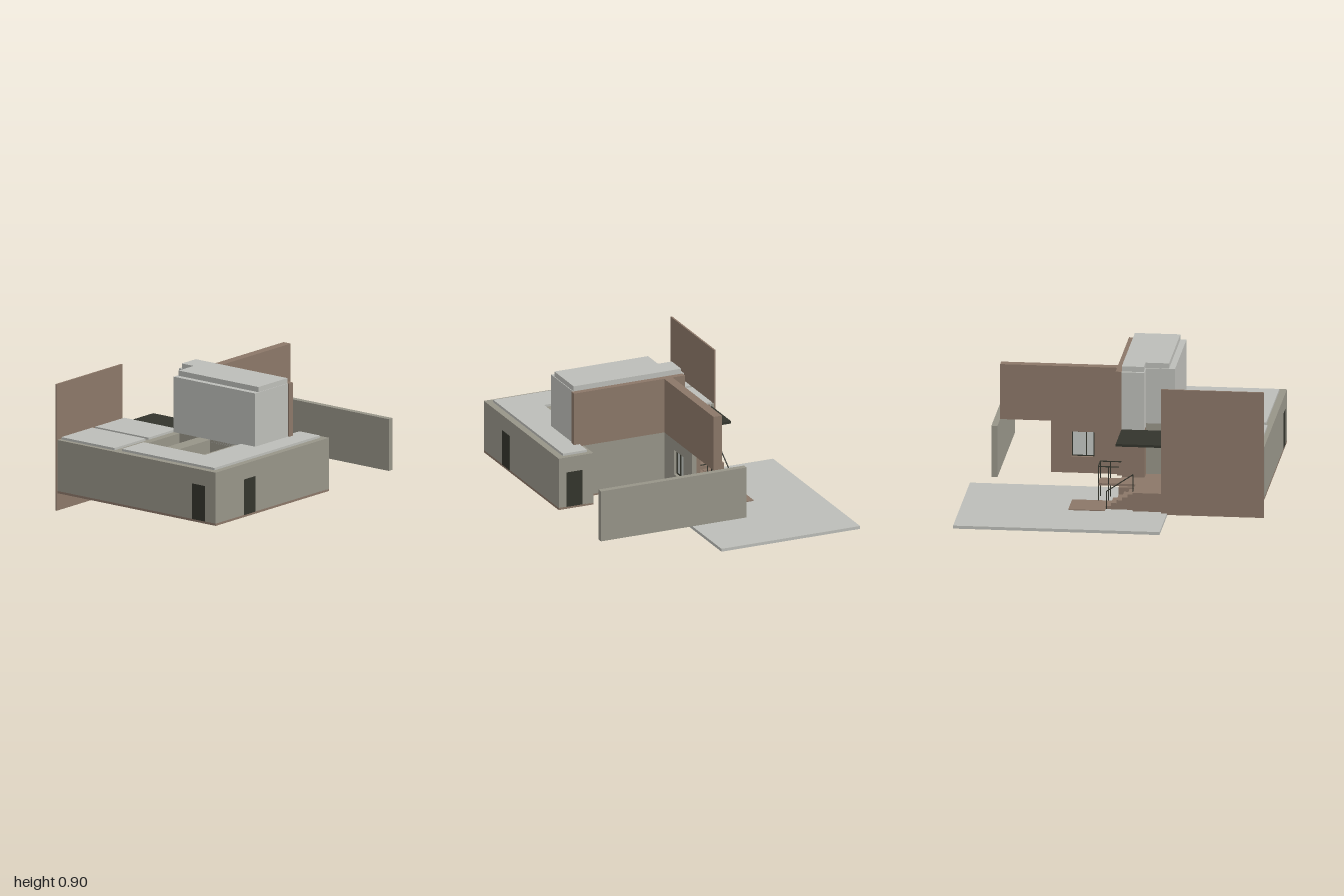
import * as THREE from 'three';

const mat = (name, color) => {
  const m = new THREE.MeshStandardMaterial({ color });
  m.name = name;
  return m;
};

export function createModel() {
  const house = new THREE.Group();
  house.name = 'house';
  const brown = mat('brown cladding', 0x8b7768);
  const olive = mat('olive plaster', 0x979488);
  const pale = mat('pale concrete', 0xbcbdb8);
  const dark = mat('dark metal', 0x33342c);
  const glass = mat('glass', 0xc3c7c3);

  // Box given by its limits on each axis
  const box = (name, m, x0, x1, y0, y1, z0, z1) => {
    const mesh = new THREE.Mesh(new THREE.BoxGeometry(x1 - x0, y1 - y0, z1 - z0), m);
    mesh.position.set((x0 + x1) / 2, (y0 + y1) / 2, (z0 + z1) / 2);
    mesh.name = name;
    house.add(mesh);
  };
  // Flat slab from a plan outline of [x, z] points, with optional holes
  const slab = (name, m, y0, y1, outline, holes = []) => {
    const pts = (list) => list.map(([x, z]) => new THREE.Vector2(x, -z));
    const shape = new THREE.Shape(pts(outline));
    holes.forEach((h) => shape.holes.push(new THREE.Path(pts(h))));
    const geo = new THREE.ExtrudeGeometry(shape, { depth: y1 - y0, bevelEnabled: false });
    geo.rotateX(-Math.PI / 2);
    const mesh = new THREE.Mesh(geo, m);
    mesh.position.y = y0;
    mesh.name = name;
    house.add(mesh);
  };
  const rect = (x0, x1, z0, z1) => [[x0, z0], [x1, z0], [x1, z1], [x0, z1]];

  // Ground terrace
  box('terrace', pale, -0.36, 1, 0, 0.02, -0.9, 0.1);

  // Raised floor with the courtyard opening
  slab('floor', brown, 0.13, 0.145,
    [[-1, -0.45], [-0.32, -0.45], [-0.32, -0.24], [-0.02, -0.24], [-0.02, 0], [0.02, 0],
      [0.02, 0.64], [0.17, 0.64], [0.17, 0.89], [-1, 0.89]],
    [rect(-0.69, -0.36, 0.32, 0.53)]);

  // Outer walls
  const b = 0.14, t = 0.49;
  box('frontWall', olive, -1, 0.17, b, t, 0.845, 0.89);
  box('sideWall', olive, -1, -0.955, b, t, -0.45, 0.845);
  box('endWall', olive, 0.13, 0.17, b, t, 0.64, 0.845);
  box('endReturnWall', olive, 0.02, 0.13, b, t, 0.64, 0.67);
  box('innerSideWall', olive, -0.02, 0.02, b, t, 0.06, 0.67);
  box('middleWall', olive, -0.955, -0.02, b, t, 0.01, 0.06);
  box('roomDivider', olive, -0.65, -0.62, b, t, -0.44, 0.01);
  box('rearWall', olive, -0.955, -0.32, b, t, -0.455, -0.43);
  box('entryWallClad', brown, -0.35, -0.32, b, t, -0.43, -0.31);
  box('entryWall', olive, -0.35, -0.32, b, t, -0.15, 0.01);
  box('entryLintel', olive, -0.35, -0.32, 0.44, t, -0.31, -0.15);

  // Courtyard walls
  box('courtyardSideWall', olive, -0.73, -0.69, b, t, 0.22, 0.58);
  box('courtyardFrontWall', olive, -0.69, -0.36, b, t, 0.53, 0.58);
  box('courtyardRearWall', olive, -0.69, -0.36, b, t, 0.22, 0.32);
  box('courtyardInnerWall', olive, -0.36, -0.32, b, t, 0.06, 0.58);
  box('courtyardEdgeWall', olive, -0.77, -0.73, b, t, 0.06, 0.58);
  box('courtyardDoor', dark, -0.5, -0.39, 0.145, 0.385, 0.126, 0.134);

  // Roof slabs
  slab('mainRoof', pale, 0.47, 0.505,
    [[-0.955, 0.06], [-0.73, 0.06], [-0.73, 0.58], [-0.36, 0.58], [-0.36, 0.06], [-0.02, 0.06],
      [-0.02, 0.67], [0.135, 0.67], [0.135, 0.843], [-0.955, 0.843]]);
  box('rearRoofOuter', pale, -0.97, -0.65, 0.47, 0.505, -0.44, 0.01);
  box('rearRoofInner', pale, -0.62, -0.32, 0.47, 0.505, -0.44, 0.01);

  // Roof tower with its narrow rear arm and raised cap
  slab('tower', pale, 0.47, 0.865,
    [[-0.36, 0.01], [-0.17, 0.01], [-0.17, -0.1], [-0.02, -0.1], [-0.02, 0.7], [-0.36, 0.7]]);
  slab('towerCap', pale, 0.865, 0.9,
    [[-0.32, 0.02], [-0.165, 0.02], [-0.165, -0.08], [-0.02, -0.08], [-0.02, 0.695], [-0.32, 0.695]]);
  box('towerStem', brown, -0.17, -0.02, 0.145, 0.47, -0.08, 0.01);

  // Tall cladding screens
  box('towerScreen', brown, -0.02, 0.02, t, 0.865, -0.09, 0.71);
  box('crossScreen', brown, 0.02, 0.79, t, 0.865, 0, 0.06);
  box('rearScreen', brown, -1, -0.32, 0.01, 0.865, -0.467, -0.455);

  // Freestanding garden wall
  box('gardenWall', olive, 0.79, 0.83, b, t, -0.16, 0.89);

  // Window wall, plaster outside and cladding behind, with a real opening
  const layers = [['windowWall', olive, 0.03, 0.06], ['windowWallBack', brown, 0, 0.03]];
  for (const [name, m, z0, z1] of layers) {
    box(name, m, -0.02, 0.17, b, t, z0, z1);
    box(name, m, 0.32, 0.455, b, t, z0, z1);
    box(name, m, 0.17, 0.32, b, 0.25, z0, z1);
    box(name, m, 0.17, 0.32, 0.42, t, z0, z1);
  }
  box('windowGlass', glass, 0.17, 0.32, 0.25, 0.42, 0.027, 0.033);
  for (const x of [0.17, 0.222, 0.314]) box('windowPost', dark, x, x + 0.006, 0.25, 0.42, 0.02, 0.04);
  for (const y of [0.25, 0.414]) box('windowRail', dark, 0.17, 0.32, y, y + 0.006, 0.02, 0.04);

  // Outside doors
  box('frontDoor', dark, -0.71, -0.595, 0.145, 0.385, 0.887, 0.894);
  box('endDoor', dark, 0.167, 0.174, 0.145, 0.385, 0.72, 0.835);
  box('sideDoor', dark, -1.0, -0.997, 0.145, 0.385, 0.69, 0.8);
  box('sideDoorFace', dark, -1.002, -0.999, 0.145, 0.385, 0.69, 0.8);

  // Glazed entry door
  box('entryGlass', glass, -0.338, -0.332, 0.145, 0.42, -0.29, -0.15);
  box('entryFramePost', dark, -0.35, -0.315, 0.145, 0.44, -0.312, -0.288);
  box('entryFrameHead', dark, -0.35, -0.315, 0.42, 0.44, -0.288, -0.15);
  box('entryHandle', dark, -0.332, -0.32, 0.24, 0.28, -0.162, -0.157);

  // Entry canopy
  box('canopy', dark, -0.32, -0.02, 0.458, 0.475, -0.44, -0.1);
  box('canopyBeam', dark, -0.32, -0.03, 0.445, 0.458, -0.28, -0.16);

  // Entry plinth, balcony, stairs and landing pad
  box('plinth', brown, -0.32, -0.02, 0.02, 0.13, -0.27, 0);
  box('upperLanding', brown, -0.32, -0.13, 0.02, 0.145, -0.44, -0.24);
  box('balcony', brown, -0.02, 0.12, 0.13, 0.145, -0.24, -0.11);
  for (let i = 0; i < 5; i++) {
    box('stairStep', brown, -0.13, 0.05 - i * 0.036, 0.02 + i * 0.021, 0.041 + i * 0.021, -0.41, -0.28);
  }
  box('landingPad', brown, 0.05, 0.29, 0.02, 0.026, -0.46, -0.23);

  // Railings and posts
  const w = 0.003;
  const post = (x, z, y0, y1) => box('railingPost', dark, x - w, x + w, y0, y1, z - w, z + w);
  for (const z of [-0.237, -0.113]) {
    post(0.117, z, 0.02, 0.26);
    post(0.05, z, 0.02, 0.26);
    box('balconyRail', dark, -0.02, 0.12, 0.255, 0.261, z - w, z + w);
  }
  box('balconyEndRail', dark, 0.114, 0.12, 0.255, 0.261, -0.24, -0.11);
  post(0.045, -0.408, 0.02, 0.14);
  post(-0.13, -0.408, 0.14, 0.26);
  const rail = new THREE.Mesh(new THREE.BoxGeometry(Math.hypot(0.175, 0.12), 0.006, 0.006), dark);
  rail.position.set(-0.0425, 0.2, -0.408);
  rail.rotation.z = -Math.atan2(0.12, 0.175);
  rail.name = 'stairRail';
  house.add(rail);

  return house;
}
